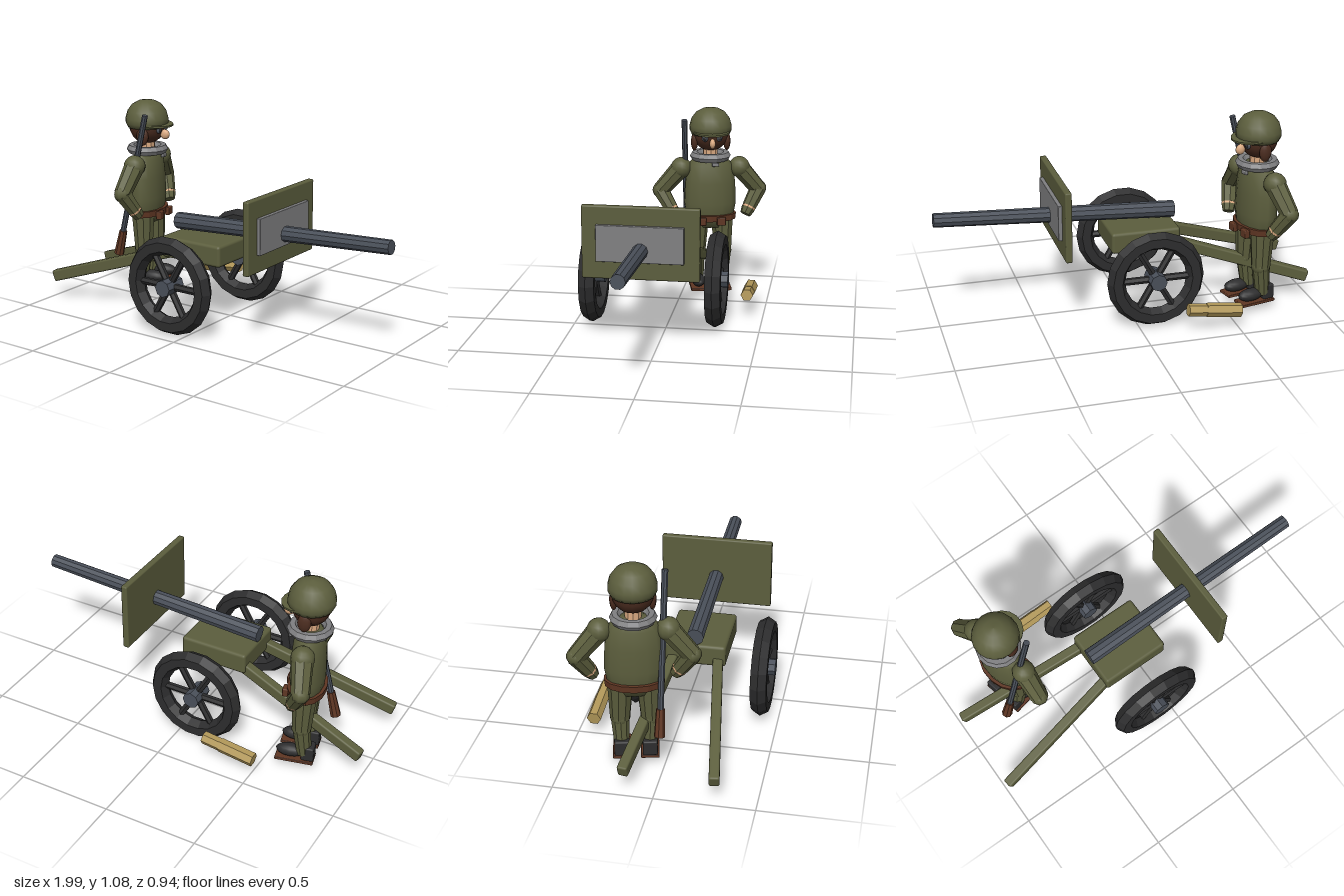
import * as THREE from 'three';
import { RoundedBoxGeometry } from 'three/addons/geometries/RoundedBoxGeometry.js';

const makeMaterial = (name, color) => {
  const m = new THREE.MeshStandardMaterial({ color });
  m.name = name;
  return m;
};
const olive = makeMaterial('olive', 0x5c5e3d);
const steel = makeMaterial('steel', 0x4a505a);
const black = makeMaterial('black', 0x2d2d2e);
const leather = makeMaterial('leather', 0x5f3623);
const face = makeMaterial('face brown', 0x4c2d20);
const brass = makeMaterial('brass', 0xb29859);
const grey = makeMaterial('grey', 0x808082);
const skin = makeMaterial('skin', 0xdcab82);

const V = (x, y, z) => new THREE.Vector3(x, y, z);

// Faceted copy of a geometry
function flat(geo) {
  const g = geo.index ? geo.toNonIndexed() : geo;
  g.computeVertexNormals();
  return g;
}

function add(parent, name, geo, mat, x = 0, y = 0, z = 0) {
  const m = new THREE.Mesh(geo, mat);
  m.name = name;
  m.position.set(x, y, z);
  parent.add(m);
  return m;
}

// Tapered rod between two points
function rod(parent, name, a, b, ra, rb, sides, mat) {
  const m = add(parent, name, flat(new THREE.CylinderGeometry(rb, ra, a.distanceTo(b), sides)), mat);
  m.position.copy(a).add(b).multiplyScalar(0.5);
  m.quaternion.setFromUnitVectors(V(0, 1, 0), b.clone().sub(a).normalize());
  return m;
}

function block(parent, name, w, h, d, mat, x, y, z, r = 0.008) {
  return add(parent, name, new RoundedBoxGeometry(w, h, d, 2, r), mat, x, y, z);
}

function ball(parent, name, rx, ry, rz, mat, x, y, z, seg = 16) {
  const m = add(parent, name, new THREE.SphereGeometry(1, seg, 10), mat, x, y, z);
  m.scale.set(rx, ry, rz);
  return m;
}

function createWheel(z) {
  const wheel = new THREE.Group();
  wheel.name = 'wheel';
  wheel.position.set(-0.095, 0.262, z);
  add(wheel, 'tyre', flat(new THREE.TorusGeometry(0.213, 0.048, 6, 18)), black);
  for (let i = 0; i < 6; i++) {
    const a = i * Math.PI / 3;
    rod(wheel, 'spoke', V(0, 0, 0), V(Math.cos(a) * 0.2, Math.sin(a) * 0.2, 0), 0.019, 0.019, 6, black);
  }
  rod(wheel, 'hub', V(0, 0, -0.062), V(0, 0, 0.062), 0.045, 0.045, 8, steel);
  return wheel;
}

function createGun() {
  const gun = new THREE.Group();
  gun.name = 'fieldGun';
  const zc = 0.072;
  rod(gun, 'barrel', V(-0.288, 0.506, zc), V(0.998, 0.575, zc), 0.045, 0.037, 10, steel);
  block(gun, 'shield', 0.035, 0.38, 0.602, olive, 0.353, 0.575, 0.074);
  block(gun, 'shieldPlate', 0.022, 0.19, 0.448, grey, 0.38, 0.575, 0.075, 0.003);
  block(gun, 'cradle', 0.375, 0.115, 0.315, olive, -0.097, 0.4, zc, 0.016);
  // Splayed trail legs
  for (const s of [-1, 1]) {
    const a = V(-0.985, 0.127, zc + s * 0.224), b = V(-0.2, 0.385, zc + s * 0.106);
    const trail = block(gun, 'trail', 0.052, 0.062, a.distanceTo(b), olive, 0, 0, 0, 0.01);
    trail.position.copy(a).add(b).multiplyScalar(0.5);
    trail.lookAt(b);
  }
  gun.add(createWheel(zc + 0.334), createWheel(zc - 0.334));
  return gun;
}

function createSoldier() {
  const man = new THREE.Group();
  man.name = 'soldier';
  man.position.set(-0.675, 0, -0.153);
  man.rotation.y = 1.798;

  // Jacket, flattened front to back
  const profile = [[0, 0.4], [0.1, 0.4], [0.135, 0.46], [0.15, 0.54], [0.145, 0.66],
    [0.13, 0.76], [0.085, 0.81], [0, 0.82]].map(p => new THREE.Vector2(...p));
  add(man, 'jacket', new THREE.LatheGeometry(profile, 14), olive).scale.z = 0.6;
  const belt = add(man, 'belt', flat(new THREE.CylinderGeometry(0.152, 0.148, 0.035, 14)), leather, 0, 0.46, 0);
  belt.scale.z = 0.66;
  for (const s of [-1, 1]) block(man, 'pouch', 0.05, 0.045, 0.03, leather, s * 0.055, 0.448, 0.098, 0.005);

  // Neck and scarf
  rod(man, 'neck', V(0, 0.79, 0), V(0, 0.88, 0), 0.042, 0.042, 10, skin);
  const scarf = add(man, 'scarf', flat(new THREE.TorusGeometry(0.09, 0.026, 6, 14)), grey, 0, 0.811, 0);
  scarf.rotation.x = Math.PI / 2;
  block(man, 'scarfKnot', 0.04, 0.02, 0.02, grey, 0.02, 0.775, 0.09, 0.005);

  // Head
  ball(man, 'head', 0.105, 0.105, 0.1, face, 0, 0.945, 0);
  ball(man, 'nose', 0.017, 0.028, 0.028, skin, 0, 0.898, 0.108, 10);
  for (const s of [-1, 1]) {
    ball(man, 'sideburn', 0.02, 0.052, 0.035, face, s * 0.092, 0.895, 0.015, 10);
    const eye = ball(man, 'eye', 0.018, 0.017, 0.009, steel, s * 0.041, 0.925, 0.092, 10);
    eye.rotation.y = s * 0.4;
    ball(man, 'pupil', 0.009, 0.01, 0.006, black, s * 0.041, 0.925, 0.099, 8);
  }

  // Helmet dome and brim
  const dome = new THREE.LatheGeometry([[0, 0.934], [0.108, 0.936], [0.119, 0.96], [0.119, 0.985], [0.108, 1.025],
    [0.082, 1.06], [0.045, 1.08], [0, 1.086]].map(p => new THREE.Vector2(...p)), 18);
  add(man, 'helmet', dome, olive);
  const brim = add(man, 'brim', new THREE.CylinderGeometry(0.105, 0.105, 0.01, 16), olive, 0, 0.956, 0.045);
  brim.rotation.x = 0.08;

  for (const s of [-1, 1]) {
    // Arms bent with hands toward the hips
    const shoulder = V(s * 0.166, 0.742, 0), elbow = V(s * 0.28, 0.61, -0.02), hand = V(s * 0.205, 0.48, 0.035);
    ball(man, 'shoulder', 0.06, 0.06, 0.06, olive, ...shoulder.toArray(), 12);
    rod(man, 'upperArm', shoulder, elbow, 0.056, 0.047, 8, olive);
    ball(man, 'elbow', 0.047, 0.047, 0.047, olive, ...elbow.toArray(), 8);
    const at = t => elbow.clone().lerp(hand, t);
    rod(man, 'forearm', elbow, at(0.75), 0.047, 0.04, 8, olive);
    rod(man, 'wrist', at(0.72), at(0.83), 0.039, 0.039, 8, skin);
    rod(man, 'glove', at(0.82), at(1.06), 0.04, 0.031, 8, olive);

    // Legs and boots
    const knee = V(s * 0.076, 0.25, 0.005);
    rod(man, 'thigh', V(s * 0.07, 0.46, 0), knee, 0.066, 0.051, 10, olive);
    ball(man, 'knee', 0.051, 0.05, 0.052, olive, ...knee.toArray(), 10);
    rod(man, 'shin', knee, V(s * 0.07, 0.09, -0.012), 0.049, 0.039, 10, olive);
    block(man, 'bootHeel', 0.074, 0.08, 0.065, black, s * 0.07, 0.1, -0.035);
    ball(man, 'bootToe', 0.038, 0.034, 0.076, black, s * 0.07, 0.091, 0.058, 12);
    block(man, 'sole', 0.092, 0.016, 0.2, leather, s * 0.07, 0.053, 0.033, 0.004);
  }
  return man;
}

function createRifle() {
  const rifle = new THREE.Group();
  rifle.name = 'rifle';
  const a = V(-0.778, 0.215, -0.01), b = V(-0.579, 1.028, -0.017);
  const at = t => a.clone().lerp(b, t);
  rod(rifle, 'rifleStock', a, at(0.17), 0.028, 0.022, 8, leather);
  rod(rifle, 'rifleBarrel', at(0.16), b, 0.016, 0.016, 8, steel);
  return rifle;
}

function createShell() {
  const shell = new THREE.Group();
  shell.name = 'shell';
  const a = V(-0.512, 0.1, -0.413), b = V(-0.225, 0.135, -0.413);
  const mid = a.clone().lerp(b, 0.66);
  rod(shell, 'shellCase', a, mid, 0.037, 0.037, 6, brass);
  rod(shell, 'shellTip', mid, b, 0.034, 0.034, 6, brass);
  return shell;
}

export function createModel() {
  const model = new THREE.Group();
  model.name = 'fieldGunWithSoldier';
  model.add(createGun(), createSoldier(), createRifle(), createShell());
  return model;
}
